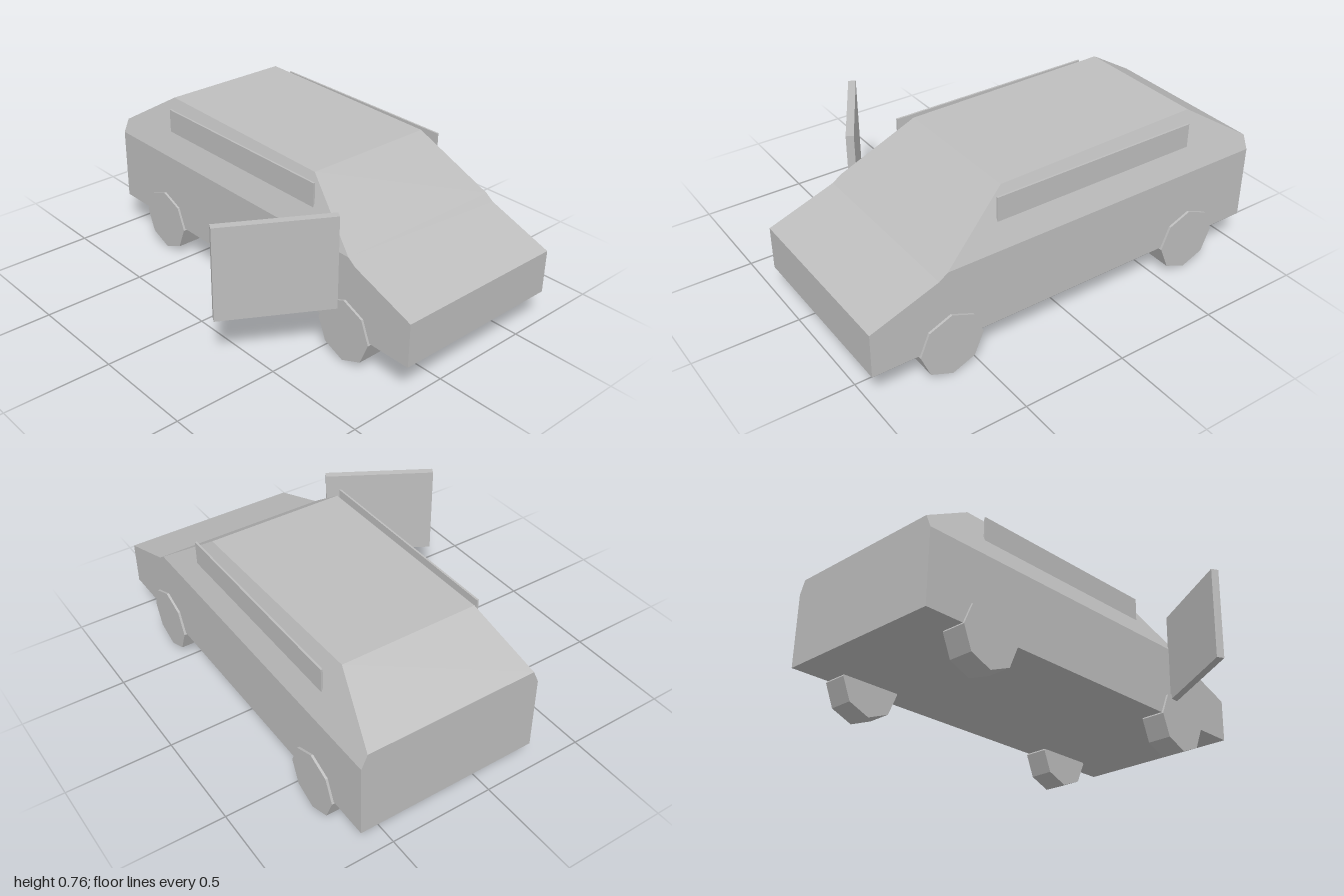
import * as THREE from 'three';

const paint = new THREE.MeshStandardMaterial({ color: 0xbdbdbd, flatShading: true });
paint.name = 'plain grey';

const CX = 0.225;      // the car's own centre line; the open door balances it
const HALF = 0.435;    // half width below the belt line
const FLOOR = 0.16;
const BELT = 0.516;
const LEAN = 0.45;     // inward lean of the cabin sides

function part(name, geometry, x = 0, y = 0, z = 0) {
  const mesh = new THREE.Mesh(geometry, paint);
  mesh.name = name;
  mesh.position.set(x, y, z);
  return mesh;
}

// Shell lofted through cross-sections from nose to tail
function bodyGeometry() {
  const stations = [[1, 0.37], [0.68, 0.487], [0.64, BELT], [0.315, 0.75], [-0.705, 0.766], [-1, 0.58]];
  const sections = stations.map(([z, top]) => {
    const belt = Math.min(top, BELT);
    const w = HALF - LEAN * (top - belt);
    return [[HALF, FLOOR], [HALF, belt], [w, top], [-w, top], [-HALF, belt], [-HALF, FLOOR]]
      .map(([x, y]) => new THREE.Vector3(x, y, z));
  });
  const points = [];
  const triangle = (a, b, c) => {
    const area = b.clone().sub(a).cross(c.clone().sub(a)).length();
    if (area > 1e-6) points.push(a, b, c);
  };
  for (let s = 0; s < sections.length - 1; s++) {
    const f = sections[s], r = sections[s + 1];
    for (let i = 0; i < 6; i++) {
      const j = (i + 1) % 6;
      triangle(f[i], r[i], r[j]);
      triangle(f[i], r[j], f[j]);
    }
  }
  // Flat nose and tail
  const nose = sections[0], tail = sections[sections.length - 1];
  for (let i = 1; i < 5; i++) {
    triangle(nose[0], nose[i], nose[i + 1]);
    triangle(tail[0], tail[i + 1], tail[i]);
  }
  const geometry = new THREE.BufferGeometry().setFromPoints(points);
  geometry.computeVertexNormals();
  return geometry;
}

export function createModel() {
  const car = new THREE.Group();
  car.name = 'car';
  car.add(part('body', bodyGeometry(), CX));

  // Eight-sided wheels, standing on a corner
  const wheel = new THREE.CylinderGeometry(0.152, 0.152, 0.124, 8).rotateZ(Math.PI / 2);
  // Upright plates along the roof sides
  const rail = new THREE.BoxGeometry(0.009, 0.156, 1.027);
  for (const [side, s] of [['left', 1], ['right', -1]]) {
    car.add(part(side + 'FrontWheel', wheel, CX + s * 0.384, 0.153, 0.631));
    car.add(part(side + 'RearWheel', wheel, CX + s * 0.384, 0.153, -0.657));
    car.add(part(side + 'RoofRail', rail, CX + s * 0.383, 0.658, -0.143));
  }

  // Front door swung open on the right
  const door = part('openDoor', new THREE.BoxGeometry(0.528, 0.445, 0.036), -0.44, 0.47, 0.448);
  door.rotation.y = -Math.PI / 6;
  car.add(door);
  return car;
}
